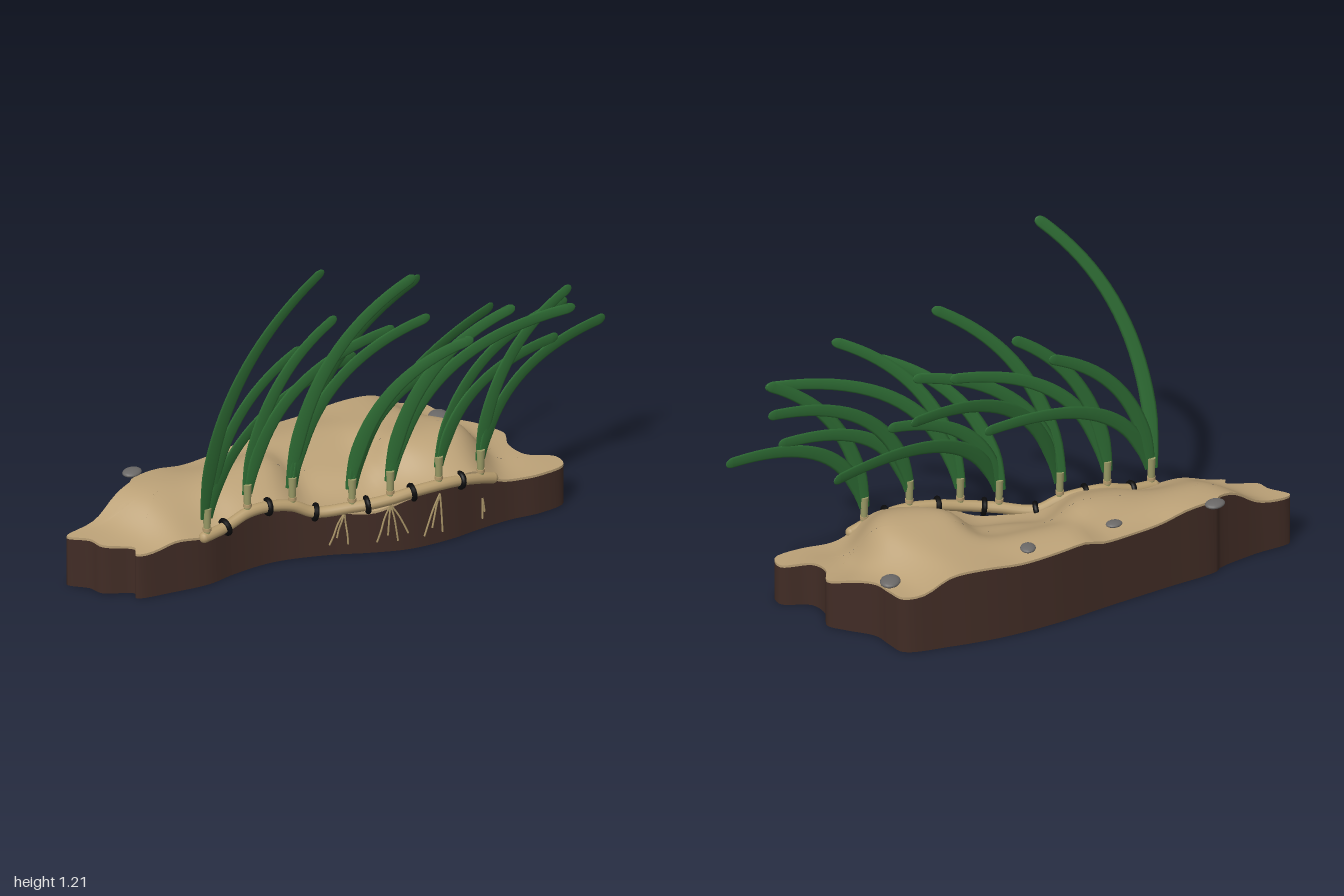
import * as THREE from 'three';

const V = (x, y, z) => new THREE.Vector3(x, y, z);
const mat = (name, color, side = THREE.FrontSide) => {
  const m = new THREE.MeshStandardMaterial({ color, side });
  m.name = name;
  return m;
};

// Skin a list of closed rings (arrays of Vector3, counter-clockwise around the travel direction)
function loft(rings) {
  const n = rings[0].length, pos = [], idx = [];
  rings.forEach(r => r.forEach(p => pos.push(p.x, p.y, p.z)));
  for (let i = 0; i < rings.length - 1; i++) {
    for (let j = 0; j < n; j++) {
      const a = i * n + j, b = i * n + (j + 1) % n;
      idx.push(a, b, a + n, b, b + n, a + n);
    }
  }
  const g = new THREE.BufferGeometry();
  g.setAttribute('position', new THREE.Float32BufferAttribute(pos, 3));
  g.setIndex(idx);
  g.computeVertexNormals();
  return g;
}

// Seabed outline as [x, z]
const OUTLINE = [
  [-1, -0.03], [-0.86, -0.07], [-0.72, -0.122], [-0.695, -0.145], [-0.5, -0.195], [-0.29, -0.25], [-0.07, -0.31],
  [0.14, -0.345], [0.33, -0.35], [0.49, -0.335], [0.52, -0.27], [0.545, -0.2], [0.63, -0.13],
  [0.68, -0.08], [0.66, 0], [0.685, 0.07], [0.785, 0.11], [0.785, 0.17], [0.685, 0.2], [0.57, 0.2],
  [0.43, 0.22], [0.33, 0.24], [0.17, 0.245], [0.03, 0.21], [-0.1, 0.165], [-0.29, 0.13],
  [-0.45, 0.15], [-0.56, 0.18], [-0.69, 0.18], [-0.83, 0.165], [-0.82, 0.13], [-0.92, 0.08], [-0.94, 0.03]
];

// Sand heights as [x, z, y], blended smoothly
const HEIGHTS = [
  [-1, -0.03, 0.185], [-0.83, 0.16, 0.16], [-0.56, 0.18, 0.165], [-0.35, 0.14, 0.22], [-0.1, 0.16, 0.18],
  [0, 0.21, 0.145], [0.2, 0.25, 0.2], [0.35, 0.24, 0.2], [0.57, 0.2, 0.15], [0.79, 0.15, 0.15],
  [0.66, 0, 0.175], [0.545, -0.2, 0.205], [0.5, -0.33, 0.215], [0.23, -0.35, 0.285], [0, -0.32, 0.265],
  [-0.4, -0.22, 0.255], [-0.7, -0.13, 0.275], [0.36, 0.05, 0.34], [0.34, 0.13, 0.305], [0.36, -0.06, 0.305],
  [0.28, -0.18, 0.285], [-0.66, -0.05, 0.315], [-0.63, 0.07, 0.24], [-0.5, -0.04, 0.275], [-0.34, 0, 0.315],
  [-0.02, -0.2, 0.305], [0, -0.03, 0.23], [-0.86, 0.03, 0.2]
];
function sandHeight(x, z) {
  let sum = 0, total = 0;
  for (const [px, pz, y] of HEIGHTS) {
    const w = Math.exp(-((x - px) ** 2 + (z - pz) ** 2) / 0.014);
    sum += w * y;
    total += w;
  }
  return sum / total;
}

// Flat blade: thin elliptical sections swept along a bending curve, rounded at the tip.
// lean is the share of the sideways drift reached at the bend.
function bladeGeometry(root, tip, lean = 0.12) {
  const dx = tip.x - root.x, dy = tip.y - root.y, dz = tip.z - root.z;
  const rise = Math.min(1, 0.5 + 0.35 * dx / dy);
  const bend = V(root.x + dx * (lean > 0.5 ? -0.08 : 0.12), root.y + dy * rise, root.z + dz * lean);
  const curve = new THREE.QuadraticBezierCurve3(root, bend, tip);
  const flat = tip.clone().sub(root).cross(bend.clone().sub(root)).normalize();
  const tipStart = 1 - 0.01 / tip.distanceTo(bend) - 0.01;
  const rings = [];
  for (let i = 0; i <= 28; i++) {
    const u = Math.max(0, (i - 20) / 8);
    const t = i < 20 ? i / 20 * tipStart : tipStart + (1 - tipStart) * u;
    const p = curve.getPoint(t), T = curve.getTangent(t);
    const wide = T.clone().cross(flat).normalize();
    const end = Math.sqrt(Math.max(0.0001, 1 - u * u));
    const w = (0.015 + 0.014 * Math.min(1, t * 6) - 0.009 * t) * end;
    const ring = [];
    for (let j = 0; j < 8; j++) {
      const a = j / 8 * Math.PI * 2;
      ring.push(p.clone().addScaledVector(wide, Math.cos(a) * w).addScaledVector(flat, Math.sin(a) * 0.004 * end));
    }
    rings.push(ring);
  }
  return loft(rings);
}

export function createModel() {
  const model = new THREE.Group();
  model.name = 'seagrassBed';
  const sand = mat('sand', 0xbba177), soil = mat('darkSoil', 0x412c25), green = mat('leafGreen', 0x2e6c34, THREE.DoubleSide);
  const stemTan = mat('rhizomeTan', 0xb69c6e), sheathOlive = mat('sheathOlive', 0x9a9a66);
  const rootTan = mat('rootTan', 0xb09a6c), black = mat('bandBlack', 0x0b0b0c), stone = mat('stoneGrey', 0x6a6867);
  const add = (name, geometry, material, parent = model) => {
    const m = new THREE.Mesh(geometry, material);
    m.name = name;
    parent.add(m);
    return m;
  };
  const group = name => {
    const g = new THREE.Group();
    g.name = name;
    model.add(g);
    return g;
  };

  // Seabed block: soil walls and underside, then a sand layer with a thin lip
  const edge = new THREE.CatmullRomCurve3(OUTLINE.map(([x, z]) => V(x, 0, z)), true)
    .getPoints(198).slice(0, -1).reverse();
  const ringAt = (s, height) => edge.map(p => {
    const sx = p.x * 0.8, sz = -0.03 + 0.11 * THREE.MathUtils.clamp((p.x - 0.5) / 0.25, 0, 1);
    const x = THREE.MathUtils.lerp(p.x, sx, s), z = THREE.MathUtils.lerp(p.z, sz, s);
    return V(x, height(x, z), z);
  });
  const floor = () => 0, under = (x, z) => sandHeight(x, z) - 0.009;
  add('soilBlock', loft([ringAt(1, floor), ringAt(0, floor), ringAt(0, floor), ringAt(0, under)]), soil);
  const sandRings = [ringAt(0, under), ringAt(0, sandHeight)];
  for (let i = 0; i <= 16; i++) sandRings.push(ringAt(i / 16, sandHeight));
  add('sandTop', loft(sandRings), sand);

  // Pebbles
  const pebbles = group('pebbles');
  [[-0.68, -0.18, 0.038, 0.4], [-0.32, -0.172, 0.03, 0.2], [0.02, -0.265, 0.034, 1.2], [0.5, -0.22, 0.044, 1]]
    .forEach(([x, z, r, turn]) => {
      const p = add('pebble', new THREE.SphereGeometry(r, 16, 10), stone, pebbles);
      p.scale.set(1, 0.32, 0.8);
      p.rotation.y = turn;
      p.position.set(x, sandHeight(x, z) + 0.005, z);
    });

  // Creeping rhizome along the front edge
  const stemPoints = [
    [-0.58, 0.185, 0.18], [-0.49, 0.195, 0.16], [-0.4, 0.222, 0.145], [-0.32, 0.225, 0.14], [-0.23, 0.21, 0.145],
    [-0.15, 0.175, 0.16], [-0.03, 0.185, 0.2], [0.02, 0.19, 0.215], [0.1, 0.2, 0.23], [0.18, 0.212, 0.236],
    [0.28, 0.218, 0.238], [0.365, 0.213, 0.23], [0.45, 0.195, 0.215], [0.5, 0.18, 0.205]
  ].map(p => V(...p));
  const stem = new THREE.CatmullRomCurve3(stemPoints);
  const rhizome = group('rhizome');
  add('rhizomeStem', new THREE.TubeGeometry(stem, 90, 0.02, 12), stemTan, rhizome);
  [0, 1].forEach(t => add('rhizomeEnd', new THREE.SphereGeometry(0.02, 12, 8), stemTan, rhizome).position.copy(stem.getPoint(t)));

  // Black tie bands around the rhizome
  const bands = group('tieBands');
  [1, 3, 5, 7, 9, 11].forEach(i => {
    const b = add('tieBand', new THREE.TorusGeometry(0.024, 0.0095, 8, 24), black, bands);
    b.position.copy(stemPoints[i]);
    b.quaternion.setFromUnitVectors(V(0, 0, 1), stem.getTangent(i / 13));
  });

  // Shoots: index of the rhizome point, then the blade tips (with an optional lean)
  const shoots = [
    [0, [-0.21, 1.21, 0.35, 0.65], [-0.18, 0.79, 0.11], [0.1, 0.63, -0.035]],
    [2, [-0.05, 0.885, 0.12], [0.18, 0.78, 0.1]],
    [4, [0.215, 1.015, 0.19], [0.31, 0.8, 0.11], [0.41, 0.795, -0.175]],
    [6, [0.38, 0.79, 0.305], [0.4, 0.62, 0.11], [0.69, 0.62, -0.18]],
    [8, [0.535, 0.88, 0.31], [0.8, 0.785, 0.235]],
    [10, [0.83, 0.745, 0.11], [0.79, 0.62, 0.12]],
    [12, [0.815, 0.83, 0.17], [1, 0.615, 0.055]]
  ];
  shoots.forEach(([i, ...tips]) => {
    const shoot = group('shoot'), base = stemPoints[i].clone();
    if (i === 0) base.x += 0.01;
    add('sheath', new THREE.CylinderGeometry(0.015, 0.011, 0.11, 12), sheathOlive, shoot)
      .position.set(base.x, base.y + 0.055, base.z);
    add('sheathCollar', new THREE.CylinderGeometry(0.015, 0.015, 0.012, 12), stemTan, shoot)
      .position.set(base.x, base.y + 0.03, base.z);
    tips.forEach(([x, y, z, lean], k) => {
      const root = V(base.x + (k - (tips.length - 1) / 2) * 0.008, base.y + 0.07, base.z + (k - 1) * 0.003);
      add('blade', bladeGeometry(root, V(x, y, z), lean), green, shoot);
    });
  });

  // Fine roots hanging down the front of the soil
  const wallZ = x => edge.filter(p => p.z > 0.05)
    .reduce((a, b) => (Math.abs(b.x - x) < Math.abs(a.x - x) ? b : a)).z + 0.003;
  const roots = group('roots');
  [[-0.05, 0.16, [-0.05, -0.025, 0.01]], [0.1, 0.18, [-0.045, -0.01, 0.025, 0.06]],
    [0.28, 0.19, [-0.06, -0.03, 0.01]], [0.455, 0.12, [0, 0.008]]]
    .forEach(([x, y, fan]) => fan.forEach((d, k) => {
      const end = 0.04 + (k % 2) * 0.025;
      const path = [0, 0.35, 0.7, 1].map(t => {
        const px = x + d * Math.pow(t, 0.8);
        return V(px, y + (end - y) * t, wallZ(px));
      });
      add('root', new THREE.TubeGeometry(new THREE.CatmullRomCurve3(path), 12, 0.0035, 5), rootTan, roots);
    }));

  return model;
}
